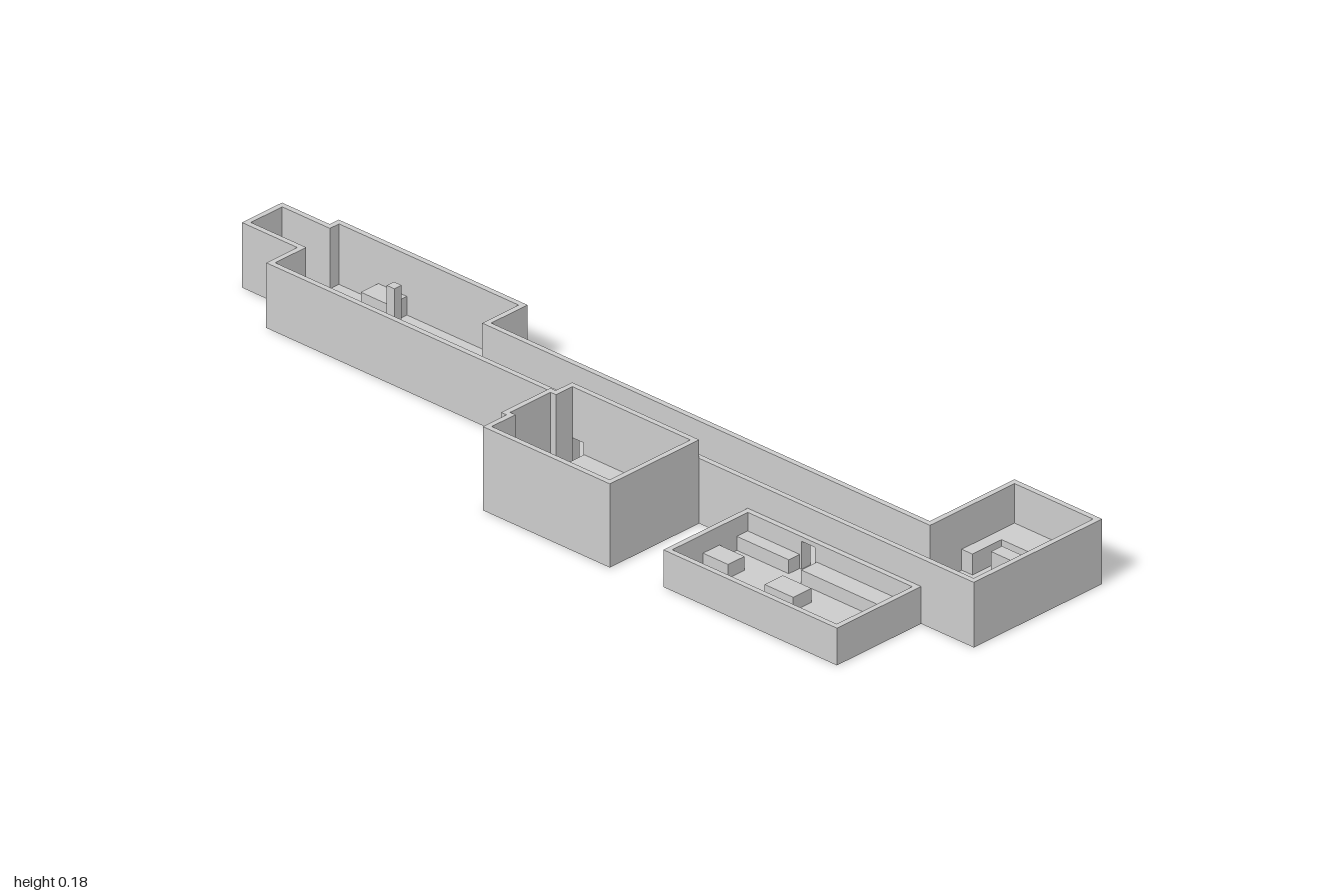
import * as THREE from 'three';

const material = new THREE.MeshStandardMaterial({ color: 0xcccccc, flatShading: true });
const WALL = 0.012, FLOOR = 0.01;

// Raises a plan outline of [x, z] points from y0 to y1
function slab(name, points, y0, y1) {
  const shape = new THREE.Shape(points.map(([x, z]) => new THREE.Vector2(x, -z)));
  const geometry = new THREE.ExtrudeGeometry(shape, { depth: y1 - y0, bevelEnabled: false });
  geometry.rotateX(-Math.PI / 2).translate(0, y0, 0);
  const mesh = new THREE.Mesh(geometry, material);
  mesh.name = name;
  return mesh;
}

// Box given by its plan limits, standing on the floor
function block(name, x0, x1, z0, z1, top) {
  const geometry = new THREE.BoxGeometry(x1 - x0, top - FLOOR, z1 - z0);
  geometry.translate((x0 + x1) / 2, (top + FLOOR) / 2, (z0 + z1) / 2);
  const mesh = new THREE.Mesh(geometry, material);
  mesh.name = name;
  return mesh;
}

// Moves a right-angled, counter-clockwise outline inwards
function inset(points, t) {
  const n = points.length;
  const normal = (a, b) => {
    const dx = b[0] - a[0], dz = b[1] - a[1], l = Math.hypot(dx, dz);
    return [dz / l, -dx / l];
  };
  return points.map((p, i) => {
    const a = normal(points[(i + n - 1) % n], p), b = normal(p, points[(i + 1) % n]);
    return [p[0] + t * (a[0] + b[0]), p[1] + t * (a[1] + b[1])];
  });
}

// Roofless room; its doors [zStart, zEnd] lie in order along the closing edge
function room(name, outline, height, doors, doorTop, furniture) {
  const group = new THREE.Group();
  group.name = name;
  const inner = inset(outline, WALL);
  const xo = outline[0][0], xi = inner[0][0];
  const start = doors[0][0], end = doors[doors.length - 1][1];
  group.add(slab('floor', inner, 0, FLOOR));

  // Sill, wall with door gaps, then the unbroken wall above
  const ring = [...outline, outline[0], inner[0], ...inner.slice(1).reverse(), inner[0]];
  const shapeRing = (label, y0, y1) => {
    const shape = new THREE.Shape(outline.map(([x, z]) => new THREE.Vector2(x, -z)));
    shape.holes.push(new THREE.Path(inner.map(([x, z]) => new THREE.Vector2(x, -z))));
    const geometry = new THREE.ExtrudeGeometry(shape, { depth: y1 - y0, bevelEnabled: false });
    geometry.rotateX(-Math.PI / 2).translate(0, y0, 0);
    const mesh = new THREE.Mesh(geometry, material);
    mesh.name = label;
    group.add(mesh);
  };
  shapeRing('sill', 0, FLOOR);
  shapeRing('upperWall', doorTop, height);
  group.add(slab('lowerWall', [
    [xo, end], ...outline, [xo, start],
    [xi, start], ...[...inner].reverse(), [xi, end],
  ], FLOOR, doorTop));
  for (let i = 0; i + 1 < doors.length; i++) {
    const a = doors[i][1], b = doors[i + 1][0];
    group.add(slab('wallBetweenDoors', [[xo, a], [xo, b], [xi, b], [xi, a]], FLOOR, doorTop));
  }
  group.add(...furniture);
  return group;
}

export function createModel() {
  const model = new THREE.Group();
  model.name = 'floorPlan';

  // Long corridor with a wing at each end
  model.add(room('corridor', [
    [-0.055, 1], [0.297, 1], [0.297, 0.77], [0.065, 0.77], [0.065, -0.38], [0.165, -0.38],
    [0.165, -0.875], [0.14, -0.875], [0.14, -1], [0.03, -1], [0.03, -0.855], [-0.055, -0.855],
  ], 0.14, [[-0.045, -0.012], [0.56, 0.595]], 0.07, [
    block('pillar', 0.04, 0.06, -0.63, -0.61, 0.138),
    block('cabinet', 0.105, 0.154, -0.76, -0.685, 0.05),
    block('backCounter', 0.14, 0.286, 0.781, 0.81, 0.055),
    block('sideCounter', 0.22, 0.286, 0.81, 0.89, 0.055),
    block('wingTable', 0.165, 0.195, 0.835, 0.895, 0.06),
  ]));

  // Tall side room with a shallow bay at the back
  model.add(room('tallRoom', [
    [-0.055, -0.053], [-0.1, -0.053], [-0.1, -0.067], [-0.235, -0.067],
    [-0.235, -0.053], [-0.3, -0.053], [-0.3, 0.28], [-0.055, 0.28],
  ].map((p) => p), 0.18, [[-0.012, -0.045]], 0.07, [
    block('leftBench', -0.288, -0.25, -0.041, 0.268, 0.045),
    block('frontBench', -0.25, -0.067, 0.22, 0.268, 0.045),
    block('rightBench', -0.11, -0.067, -0.01, 0.22, 0.045),
    block('table', -0.21, -0.16, 0.06, 0.165, 0.045),
    block('desk', -0.2, -0.15, -0.015, 0.03, 0.045),
  ]));

  // Low side room
  model.add(room('lowRoom', [
    [-0.055, 0.407], [-0.286, 0.407], [-0.286, 0.862], [-0.055, 0.862],
  ], 0.08, [[0.595, 0.56]], 0.07, [
    block('leftBench', -0.274, -0.24, 0.419, 0.85, 0.04),
    block('frontBench', -0.24, -0.067, 0.8, 0.85, 0.04),
    block('rightBench', -0.11, -0.067, 0.6, 0.8, 0.04),
    block('cornerCabinet', -0.097, -0.067, 0.419, 0.555, 0.04),
    block('desk', -0.19, -0.145, 0.419, 0.485, 0.04),
    block('table', -0.2, -0.15, 0.59, 0.665, 0.04),
  ]));

  return model;
}
